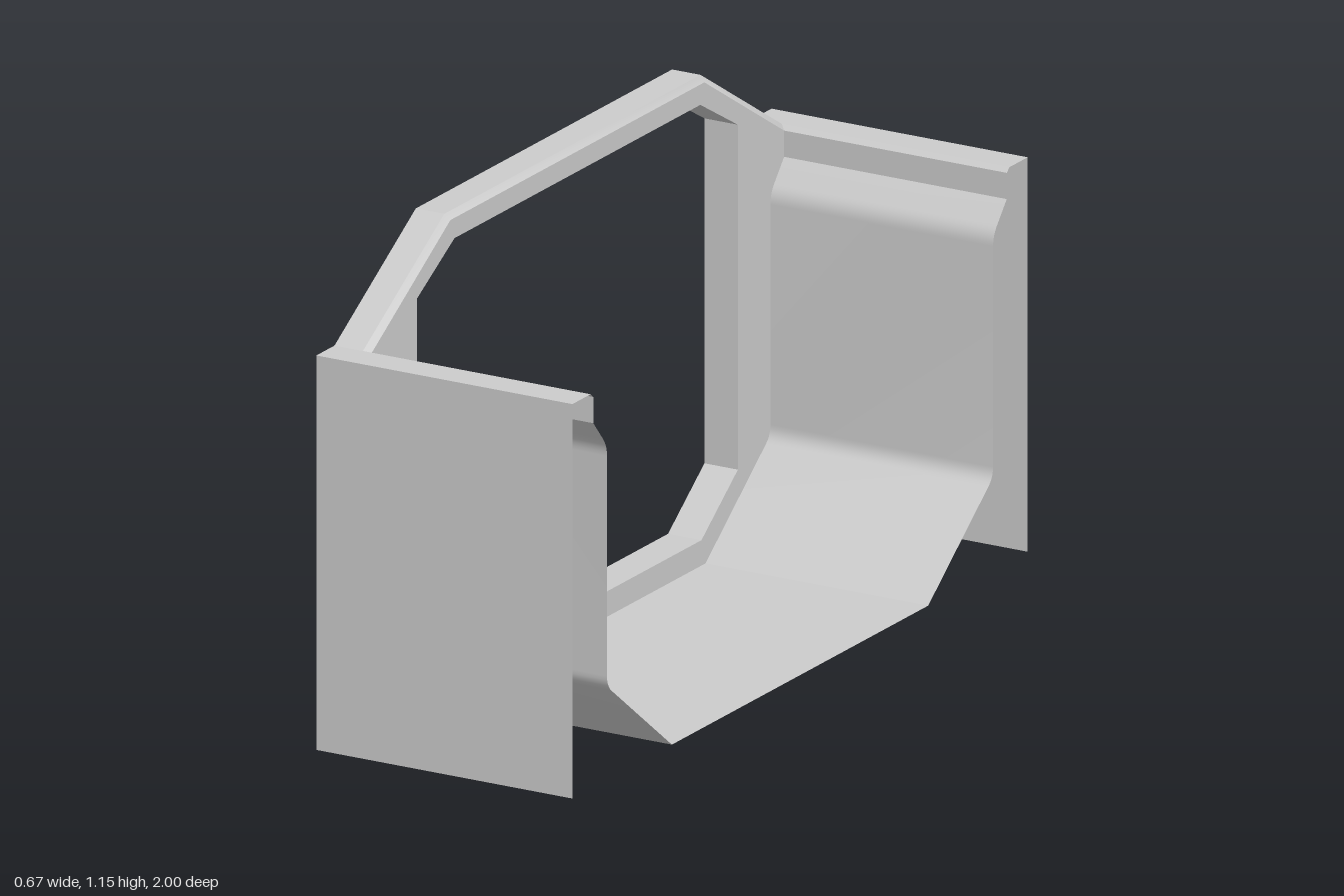
import * as THREE from 'three';
import { toCreasedNormals } from 'three/addons/utils/BufferGeometryUtils.js';

const BACK = -0.333, FRONT = 0.333; // x extent
const BEVEL = -0.259, FACE = -0.246; // start of the bevel, plane of the ring face

const material = new THREE.MeshStandardMaterial({ color: 0xcccccc, side: THREE.DoubleSide });

// Places a [z, y] path at a given x
const at = (x, path) => path.map(([z, y]) => [x, y, z]);

// Continues a half path with its mirror image across z = 0
const mirrored = (half) => [...half, ...half.map(([z, y]) => [-z, y]).reverse()];

// Sheet stretched between two rows of 3D points
function sheet(name, a, b) {
  const pos = [];
  for (let i = 0; i < a.length - 1; i++) {
    pos.push(...a[i], ...b[i], ...b[i + 1], ...a[i], ...b[i + 1], ...a[i + 1]);
  }
  const geo = new THREE.BufferGeometry();
  geo.setAttribute('position', new THREE.Float32BufferAttribute(pos, 3));
  const mesh = new THREE.Mesh(toCreasedNormals(geo, Math.PI / 7), material);
  mesh.name = name;
  return mesh;
}

// Rounds one corner of a path with a short curve of about length r per side
function fillet(prev, corner, next, r = 0.025, steps = 5) {
  const P = (p) => new THREE.Vector2(...p);
  const c = P(corner);
  const start = c.clone().add(P(prev).sub(c).setLength(r));
  const end = c.clone().add(P(next).sub(c).setLength(r));
  return new THREE.QuadraticBezierCurve(start, c, end).getPoints(steps).map((p) => [p.x, p.y]);
}

export function createModel() {
  const group = new THREE.Group();

  // Trough section from the rim down to the floor
  const rim = [0.908, 0.922], shoulder = [0.908, 0.86], neck = [0.848, 0.79];
  const hip = [0.848, 0.22], floor = [0.563, 0];
  const trough = mirrored([
    rim, shoulder,
    ...fillet(shoulder, neck, hip),
    ...fillet(neck, hip, floor),
    floor,
  ]);
  group.add(sheet('trough', at(FACE, trough), at(FRONT, trough)));

  // Arched band over the top of the ring, with its bevelled edge
  const arch = mirrored([[0.92, 0.932], [0.563, 1.152]]);
  const archInner = mirrored([rim, [0.558, 1.138]]);
  group.add(sheet('archBand', at(BACK, arch), at(BEVEL, arch)));
  group.add(sheet('archBevel', at(BEVEL, arch), at(FACE, archInner)));

  // Eight-sided opening through the ring, open at its back
  const opening = [
    [0.545, 0.06], [-0.545, 0.06], [-0.705, 0.18], [-0.705, 0.995],
    [-0.54, 1.09], [0.54, 1.09], [0.705, 0.995], [0.705, 0.18],
  ];
  const loop = [...opening, opening[0]];
  group.add(sheet('openingWall', at(BACK, loop), at(FACE, loop)));

  // Flat ring face between the opening and the outer outline
  const toVectors = (path) => path.map(([z, y]) => new THREE.Vector2(z, y));
  const outline = new THREE.Shape(toVectors([...trough, ...archInner.slice(1, -1).reverse()]));
  outline.holes.push(new THREE.Path(toVectors(opening)));
  const face = new THREE.Mesh(new THREE.ShapeGeometry(outline), material);
  face.geometry.rotateY(Math.PI / 2).translate(FACE, 0, 0);
  face.name = 'ringFace';
  group.add(face);

  // End panels with a flat top lip and a bevel down into the trough
  for (const side of [1, -1]) {
    const place = (path) => {
      const p = path.map(([z, y]) => [z * side, y]);
      return side > 0 ? p : p.reverse();
    };
    const panel = place([[1, 0], [1, 0.932], [0.92, 0.932]]);
    group.add(sheet('endPanel', at(BACK, panel), at(FRONT, panel)));

    const bevel = place([[0.92, 0.932], rim]);
    const inner = bevel.map(([z, y]) => [Math.abs(z) > 0.915 ? BEVEL : FACE, y, z]);
    group.add(sheet('lipBevel', inner, at(FRONT, bevel)));
  }

  return group;
}
